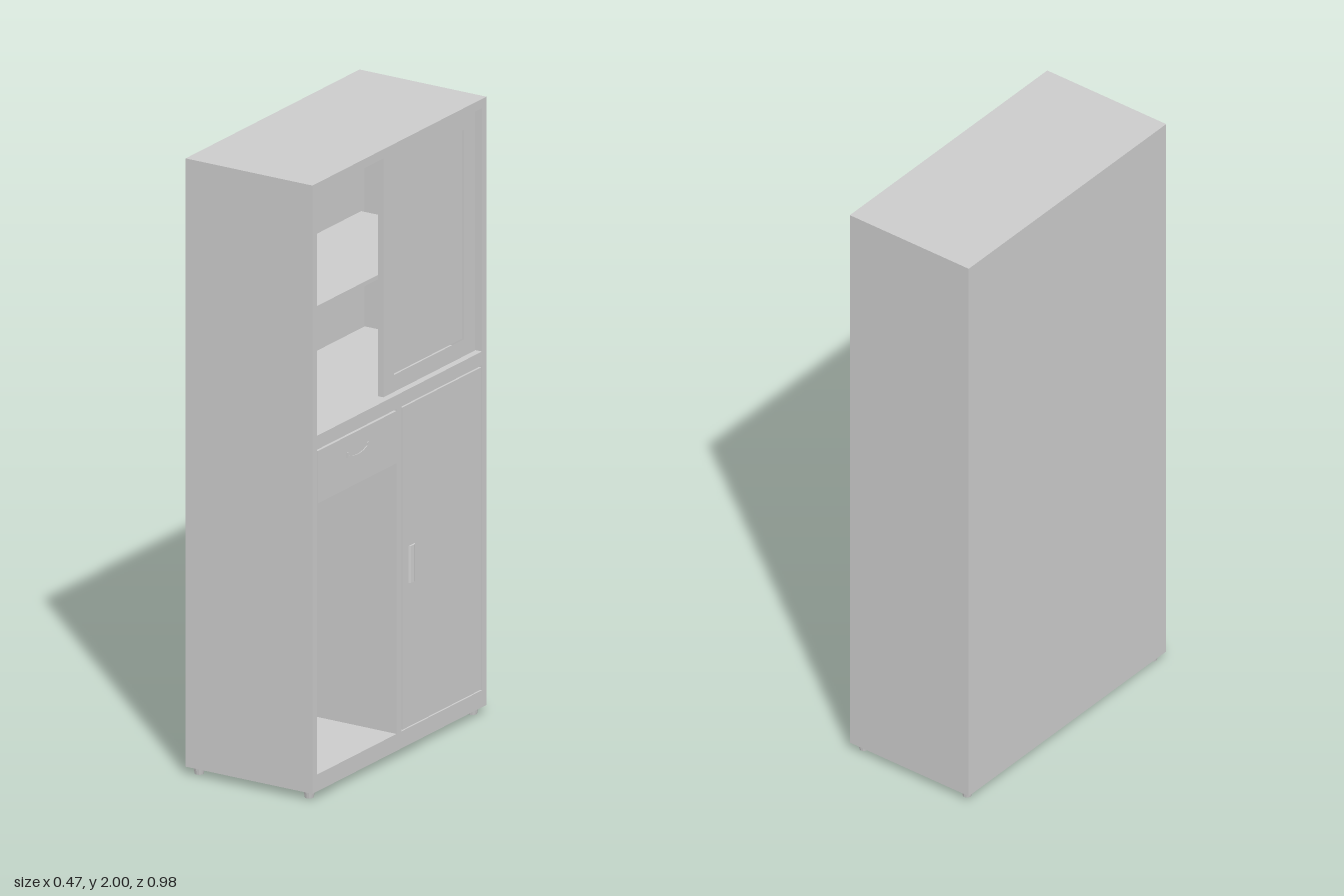
import * as THREE from 'three';

const material = new THREE.MeshStandardMaterial({ color: 0xcccccc, flatShading: true });

export function createModel() {
  const cabinet = new THREE.Group();
  cabinet.name = 'cabinet';
  const BACK = -0.235, FRONT = 0.228;

  const add = (name, geometry, parent = cabinet) => {
    const mesh = new THREE.Mesh(geometry, material);
    mesh.name = name;
    parent.add(mesh);
    return mesh;
  };
  // Box given by its limits on each axis
  const box = (name, x0, x1, y0, y1, z0, z1, parent) => {
    const mesh = add(name, new THREE.BoxGeometry(x1 - x0, y1 - y0, z1 - z0), parent);
    mesh.position.set((x0 + x1) / 2, (y0 + y1) / 2, (z0 + z1) / 2);
    return mesh;
  };
  const rectangle = (C, z0, z1, y0, y1) => new C([
    new THREE.Vector2(-z0, y0), new THREE.Vector2(-z1, y0),
    new THREE.Vector2(-z1, y1), new THREE.Vector2(-z0, y1),
  ]);
  // Outline drawn as (-z, y), extruded towards +x
  const facing = (name, shape, x0, depth, parent) => {
    const geometry = new THREE.ExtrudeGeometry(shape, { depth, bevelEnabled: false, curveSegments: 12 });
    const mesh = add(name, geometry, parent);
    mesh.rotation.y = Math.PI / 2;
    mesh.position.x = x0;
    return mesh;
  };

  // Carcass
  for (const s of [1, -1]) {
    const [z0, z1] = s > 0 ? [0.465, 0.49] : [-0.49, -0.465];
    box(s > 0 ? 'leftSide' : 'rightSide', BACK, FRONT, 0.025, 2, z0, z1);
  }
  box('backPanel', BACK, -0.2, 0.025, 2, -0.465, 0.465);
  box('topPanel', -0.2, FRONT, 1.97, 2, -0.465, 0.465);
  box('middlePanel', -0.2, FRONT, 1.135, 1.18, -0.465, 0.465);
  box('bottomPanel', -0.2, FRONT, 0.025, 0.08, -0.465, 0.465);
  box('lowerPartition', -0.2, FRONT, 0.08, 1.135, -0.012, 0.016);

  // Upper compartment: loose shelf and one sliding door with a sunken panel
  box('shelf', -0.2, 0.164, 1.545, 1.56, -0.445, 0.445);
  const slidingDoor = new THREE.Group();
  slidingDoor.name = 'slidingDoor';
  cabinet.add(slidingDoor);
  const doorFrame = rectangle(THREE.Shape, -0.462, 0.055, 1.18, 1.965);
  doorFrame.holes.push(rectangle(THREE.Path, -0.4, -0.005, 1.235, 1.915));
  facing('slidingDoorFrame', doorFrame, 0.185, 0.02, slidingDoor);
  box('slidingDoorPanel', 0.187, 0.198, 1.235, 1.915, -0.4, -0.005, slidingDoor);

  // Drawer with a curved pull
  const drawer = new THREE.Group();
  drawer.name = 'drawer';
  cabinet.add(drawer);
  box('drawerBody', -0.2, 0.21, 0.96, 1.12, 0.019, 0.462, drawer);
  box('drawerFront', 0.21, 0.23, 0.96, 1.13, 0.019, 0.462, drawer);
  const pull = new THREE.Shape();
  pull.moveTo(-0.3, 1.078);
  pull.lineTo(-0.3, 1.06);
  pull.quadraticCurveTo(-0.24, 1.034, -0.18, 1.06);
  pull.lineTo(-0.18, 1.078);
  pull.lineTo(-0.187, 1.078);
  pull.lineTo(-0.187, 1.068);
  pull.quadraticCurveTo(-0.24, 1.044, -0.293, 1.068);
  pull.lineTo(-0.293, 1.078);
  facing('drawerPull', pull, 0.226, 0.007, drawer);

  // Lower hinged door with a slim bevelled handle
  const door = new THREE.Group();
  door.name = 'lowerDoor';
  cabinet.add(door);
  box('doorPanel', 0.208, FRONT, 0.084, 1.13, -0.461, -0.016, door);
  const profile = new THREE.Shape([[0.226, 0.05], [0.233, 0.057], [0.235, 0.07], [0.233, 0.08], [0.226, 0.09]]
    .map(([x, y]) => new THREE.Vector2(x, y)));
  const handle = add('doorHandle', new THREE.ExtrudeGeometry(profile, { depth: 0.12, bevelEnabled: false }), door);
  handle.rotation.x = -Math.PI / 2;
  handle.position.y = 0.55;

  // Tapered feet
  for (const x of [-0.205, 0.197]) {
    for (const z of [-0.46, 0.46]) {
      const foot = add('foot', new THREE.CylinderGeometry(0.019, 0.014, 0.026, 12));
      foot.position.set(x, 0.013, z);
    }
  }
  return cabinet;
}
